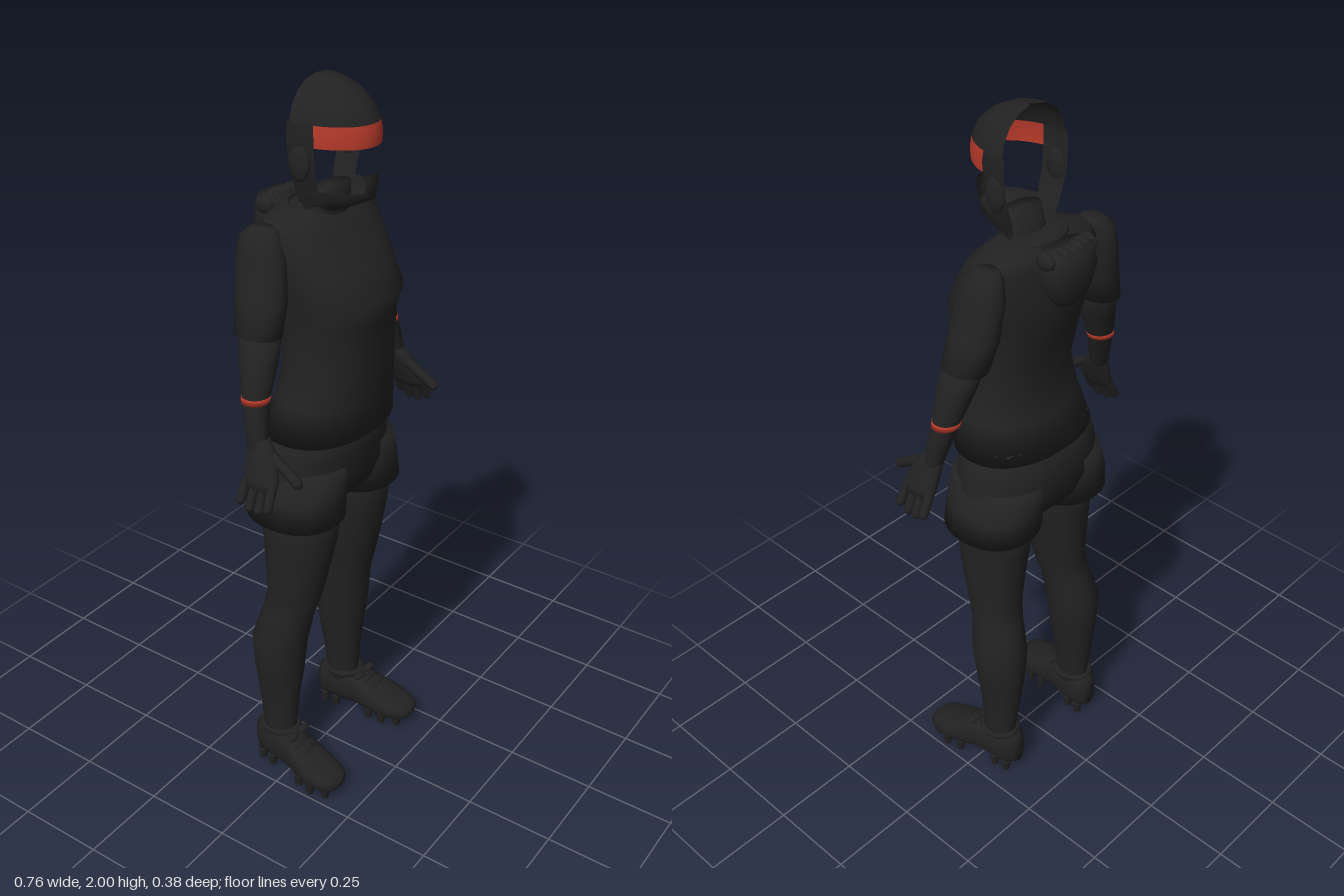
import * as THREE from 'three';

const black = new THREE.MeshStandardMaterial({ color: 0x222222, side: THREE.DoubleSide });
black.name = 'black cloth';
const red = new THREE.MeshStandardMaterial({ color: 0xb53a2a, side: THREE.DoubleSide });
red.name = 'red band';

function mesh(parent, name, geometry, material = black) {
  const m = new THREE.Mesh(geometry, material);
  m.name = name;
  parent.add(m);
  return m;
}

// Skin over a stack of equal rings; closed rings also get end caps.
function loft(rings, closed = true) {
  const n = rings[0].length, pos = [], index = [];
  rings.forEach(r => r.forEach(p => pos.push(...p)));
  const cols = closed ? n : n - 1;
  for (let i = 0; i < rings.length - 1; i++) {
    for (let j = 0; j < cols; j++) {
      const k = (j + 1) % n;
      const a = i * n + j, b = i * n + k, c = a + n, d = b + n;
      index.push(a, c, b, b, c, d);
    }
  }
  if (closed) {
    [0, rings.length - 1].forEach(i => {
      const mid = [0, 1, 2].map(k => rings[i].reduce((s, p) => s + p[k], 0) / n);
      const centre = pos.length / 3;
      pos.push(...mid);
      for (let j = 0; j < n; j++) {
        const a = i * n + j, b = i * n + (j + 1) % n;
        if (i === 0) index.push(centre, a, b);
        else index.push(centre, b, a);
      }
    });
  }
  const g = new THREE.BufferGeometry();
  g.setAttribute('position', new THREE.Float32BufferAttribute(pos, 3));
  g.setIndex(index);
  g.computeVertexNormals();
  return g;
}

const soft = (v, e) => Math.sign(v) * Math.pow(Math.abs(v), e);

// Upright body part from sections [y, centre x, half width, front z, back z], top first.
function body(sections, side = 1, e = 0.9) {
  const rings = sections.map(([y, cx, rx, zf, zb]) => Array.from({ length: 28 }, (_, j) => {
    const t = j / 28 * Math.PI * 2;
    return [side * cx + rx * soft(Math.cos(t), e), y, (zf + zb) / 2 + (zf - zb) / 2 * soft(Math.sin(t), e)];
  }));
  return loft(rings.reverse());
}

// Open head shell from sections [y, half width, depth], between two angles.
function shell(sections, t0, t1) {
  const rings = sections.map(([y, rx, rz]) => Array.from({ length: 25 }, (_, j) => {
    const t = t0 + (t1 - t0) * j / 24;
    return [rx * Math.cos(t), y, -0.02 + rz * Math.sin(t)];
  }));
  return loft(rings.reverse(), false);
}

// Tapered finger between two points.
function finger(parent, name, a, b, r) {
  const p = new THREE.Vector3(...a), q = new THREE.Vector3(...b);
  const m = mesh(parent, name, new THREE.CapsuleGeometry(r, p.distanceTo(q), 3, 8));
  m.position.copy(p).lerp(q, 0.5);
  m.quaternion.setFromUnitVectors(new THREE.Vector3(0, 1, 0), q.sub(p).normalize());
}

function ball(parent, name, x, y, z, rx, ry, rz) {
  const m = mesh(parent, name, new THREE.SphereGeometry(1, 14, 10));
  m.position.set(x, y, z);
  m.scale.set(rx, ry, rz);
}

function buildHead(root) {
  const head = new THREE.Group();
  head.name = 'head';
  root.add(head);
  const a = -0.06, b = Math.PI + 0.06;
  mesh(head, 'cap', shell([[2, 0.005, 0.008], [1.993, 0.045, 0.06], [1.97, 0.078, 0.108],
    [1.94, 0.098, 0.142], [1.905, 0.107, 0.16]], a, b));
  // the band covers the brow, black hair covers the temples
  mesh(head, 'headband', shell([[1.905, 0.107, 0.16], [1.88, 0.11, 0.166], [1.852, 0.109, 0.165]], 0.35, Math.PI - 0.35), red);
  const temple = [[1.905, 0.107, 0.16], [1.87, 0.11, 0.165], [1.8, 0.102, 0.158], [1.74, 0.082, 0.15], [1.7, 0.07, 0.1]];
  mesh(head, 'leftTemple', shell(temple, -0.1, 0.35));
  mesh(head, 'rightTemple', shell(temple, Math.PI - 0.35, Math.PI + 0.1));
  mesh(head, 'jaw', shell([[1.74, 0.082, 0.155], [1.72, 0.078, 0.155], [1.7, 0.07, 0.115], [1.68, 0.066, 0.07]], 0, Math.PI));
  mesh(head, 'chinPatch', shell([[1.785, 0.09, 0.158], [1.76, 0.086, 0.162], [1.735, 0.082, 0.156]], 1.25, Math.PI - 1.25));
  for (const s of [-1, 1]) ball(head, 'ear', s * 0.104, 1.81, -0.003, 0.012, 0.045, 0.03);
  mesh(head, 'neck', body([[1.735, 0, 0.064, 0.05, -0.015], [1.69, 0, 0.066, 0.05, -0.03], [1.6, 0, 0.08, 0.05, -0.08]]));

  // gathered hair behind the shoulders, with a curled upper edge
  mesh(head, 'hairBundle', body([[1.685, 0, 0.075, -0.09, -0.18], [1.63, 0, 0.085, -0.09, -0.188],
    [1.575, 0, 0.065, -0.1, -0.18], [1.54, 0, 0.035, -0.11, -0.16]]));
  for (let i = -3; i <= 3; i++) {
    ball(head, 'hairCurl', i * 0.024, 1.672, -0.145 + Math.abs(i) * 0.004, 0.015, 0.022, 0.028);
  }
}

function buildArm(root, s) {
  const arm = new THREE.Group();
  arm.name = s > 0 ? 'leftArm' : 'rightArm';
  root.add(arm);
  mesh(arm, 'sleeve', body([[1.668, 0.185, 0.025, -0.02, -0.085], [1.65, 0.195, 0.04, 0, -0.105],
    [1.6, 0.2, 0.045, 0.02, -0.115], [1.5, 0.216, 0.052, 0.032, -0.108], [1.42, 0.241, 0.051, 0.034, -0.094]], s, 1));
  mesh(arm, 'forearm', body([[1.44, 0.235, 0.045, 0.03, -0.086], [1.36, 0.259, 0.047, 0.034, -0.066],
    [1.27, 0.287, 0.037, 0.028, -0.04], [1.15, 0.314, 0.024, 0.045, -0.008]], s, 1));
  mesh(arm, 'wristBand', body([[1.279, 0.285, 0.039, 0.029, -0.043], [1.264, 0.289, 0.038, 0.029, -0.041]], s, 1), red);
  mesh(arm, 'palm', body([[1.18, 0.307, 0.023, 0.042, -0.01], [1.14, 0.318, 0.024, 0.075, -0.01],
    [1.08, 0.338, 0.021, 0.095, -0.008], [1.06, 0.346, 0.016, 0.09, 0]], s));
  for (let i = 0; i < 4; i++) {
    finger(arm, 'finger', [s * 0.343, 1.075, 0.004 + i * 0.026],
      [s * 0.37, [1.025, 1.012, 1.012, 1.025][i], 0.002 + i * 0.028], 0.0125);
  }
  finger(arm, 'thumb', [s * 0.312, 1.14, 0.06], [s * 0.316, 1.09, 0.138], 0.014);
}

function buildLeg(root, s) {
  const leg = new THREE.Group();
  leg.name = s > 0 ? 'leftLeg' : 'rightLeg';
  root.add(leg);
  mesh(leg, 'shortsLeg', body([[1.02, 0.108, 0.1, 0.125, -0.14], [0.94, 0.122, 0.113, 0.128, -0.142],
    [0.868, 0.13, 0.119, 0.128, -0.135]], s));
  mesh(leg, 'stocking', body([[0.93, 0.115, 0.1, 0.118, -0.12], [0.8, 0.12, 0.09, 0.108, -0.105],
    [0.7, 0.127, 0.082, 0.088, -0.095], [0.6, 0.132, 0.071, 0.066, -0.088], [0.54, 0.141, 0.066, 0.048, -0.103],
    [0.45, 0.154, 0.075, 0.032, -0.127], [0.35, 0.154, 0.066, 0.022, -0.123], [0.25, 0.156, 0.05, 0.01, -0.112],
    [0.15, 0.159, 0.041, 0.002, -0.1], [0.08, 0.16, 0.04, 0.002, -0.1]], s, 1));

  // shoe sections from toe to heel: [z, centre x, half width, bottom, top]
  const shoe = [[0.186, 0.19, 0.014, 0.04, 0.055], [0.175, 0.19, 0.038, 0.027, 0.068], [0.145, 0.189, 0.055, 0.02, 0.08],
    [0.1, 0.185, 0.061, 0.018, 0.094], [0.05, 0.178, 0.056, 0.022, 0.115], [0.01, 0.171, 0.05, 0.027, 0.138],
    [-0.05, 0.163, 0.046, 0.024, 0.14], [-0.1, 0.159, 0.042, 0.022, 0.145], [-0.122, 0.158, 0.022, 0.035, 0.125]];
  mesh(leg, 'shoe', loft(shoe.map(([z, cx, w, y0, y1]) => Array.from({ length: 20 }, (_, j) => {
    const t = j / 20 * Math.PI * 2;
    return [s * cx + w * soft(Math.cos(t), 0.75), (y0 + y1) / 2 + (y1 - y0) / 2 * soft(Math.sin(t), 0.75), z];
  }))));
  const collar = mesh(leg, 'shoeCollar', new THREE.TorusGeometry(0.046, 0.009, 8, 24));
  collar.rotation.x = Math.PI / 2;
  collar.scale.y = 1.15;
  collar.position.set(s * 0.161, 0.138, -0.048);
  // laces over the instep, with a small bow
  for (let i = 0; i < 3; i++) {
    const lace = mesh(leg, 'lace', new THREE.TorusGeometry(0.03, 0.006, 6, 12, Math.PI));
    lace.scale.y = 0.5;
    lace.position.set(s * (0.173 + i * 0.004), 0.128 - i * 0.016, 0.015 + i * 0.025);
  }
  for (const d of [-1, 1]) ball(leg, 'bowLoop', s * 0.17 + d * 0.026, 0.137, 0.022, 0.022, 0.009, 0.012);
  // studs: pairs under the forefoot and heel
  for (const [z, cx, w] of [[0.15, 0.189, 0.03], [0.105, 0.186, 0.044], [0.06, 0.18, 0.04], [-0.055, 0.163, 0.028], [-0.095, 0.159, 0.026]]) {
    for (const d of [-1, 1]) {
      const stud = mesh(leg, 'stud', new THREE.CylinderGeometry(0.014, 0.01, 0.034, 10));
      stud.position.set(s * cx + d * w, 0.017, z);
    }
  }
}

export function createModel() {
  const root = new THREE.Group();
  root.name = 'athlete';
  buildHead(root);
  mesh(root, 'shirt', body([[1.685, 0, 0.085, 0.035, -0.1], [1.67, 0, 0.16, 0.05, -0.115], [1.64, 0, 0.195, 0.08, -0.125],
    [1.55, 0, 0.185, 0.145, -0.135], [1.48, 0, 0.174, 0.188, -0.127], [1.42, 0, 0.163, 0.172, -0.112],
    [1.3, 0, 0.16, 0.166, -0.083], [1.2, 0, 0.178, 0.16, -0.102], [1.1, 0, 0.202, 0.152, -0.136]]));
  const collar = mesh(root, 'shirtCollar', new THREE.TorusGeometry(0.085, 0.009, 8, 32));
  collar.rotation.x = Math.PI / 2 + 0.12;
  collar.scale.y = 0.8;
  collar.position.set(0, 1.678, -0.028);
  mesh(root, 'shorts', body([[1.13, 0, 0.19, 0.13, -0.125], [1.05, 0, 0.208, 0.13, -0.146],
    [0.98, 0, 0.22, 0.128, -0.145], [0.92, 0, 0.225, 0.11, -0.125]]));
  for (const s of [-1, 1]) {
    buildArm(root, s);
    buildLeg(root, s);
  }
  return root;
}
